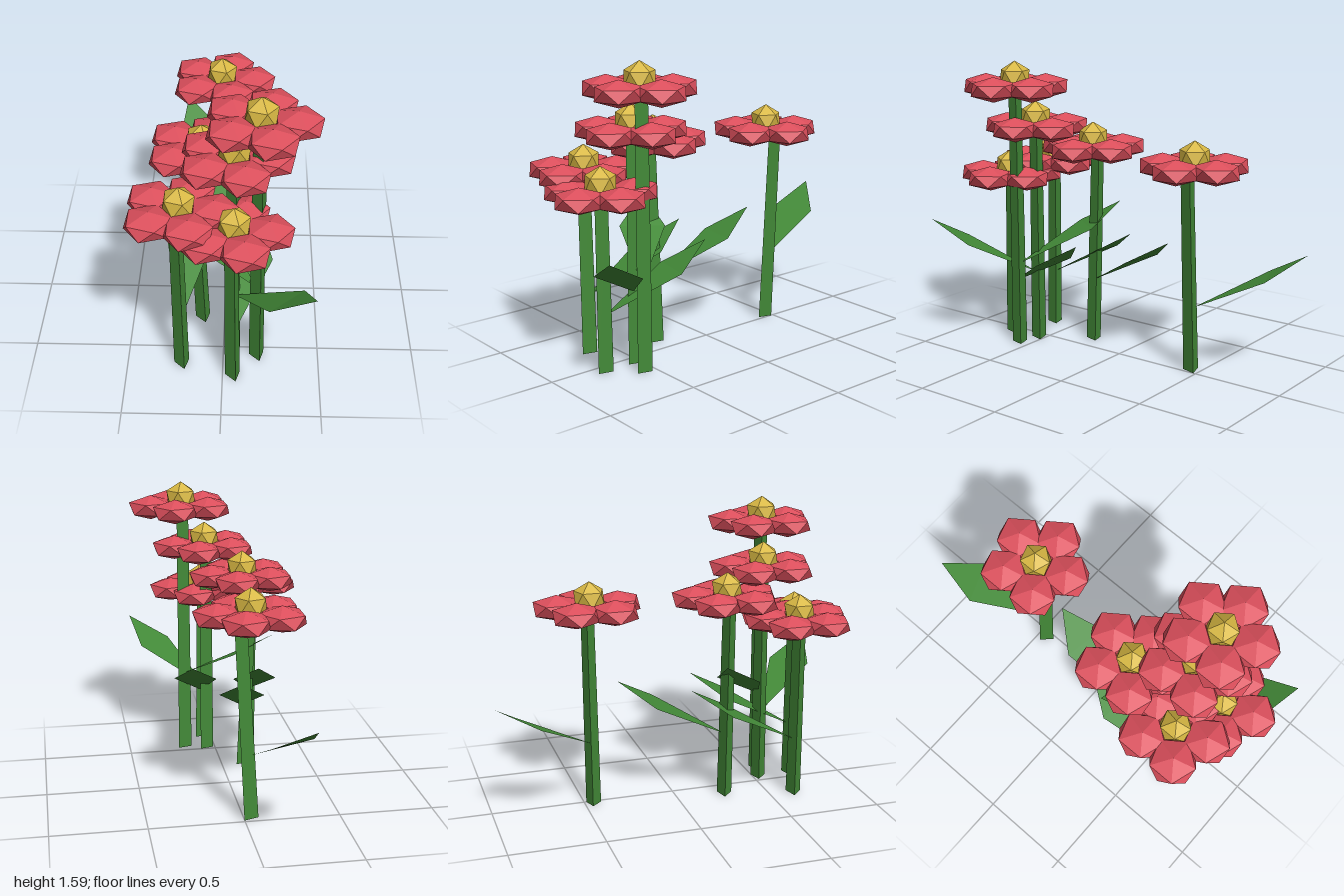
import * as THREE from 'three';

const PETALS = 5;

// Faceted ball with a corner pointing straight up and one upper corner toward +x
function facetedBall(radius, flatten) {
  const g = new THREE.IcosahedronGeometry(radius, 0);
  g.rotateX(-Math.atan((1 + Math.sqrt(5)) / 2));
  g.rotateY(Math.PI / 2);
  g.scale(1, flatten, 1);
  return g;
}

// Three-sided tapering stem standing on y = 0
function stemGeometry(height) {
  const g = new THREE.CylinderGeometry(0.04, 0.046, height, 3).toNonIndexed();
  g.computeVertexNormals();
  g.rotateY(0.26);
  g.translate(0, height / 2, 0);
  return g;
}

// Kite-shaped leaf rising from the stem along the horizontal vector (dx, dz)
function leafGeometry(dx, dz, baseY) {
  const len = Math.hypot(dx, dz);
  const sx = (-dz / len) * 0.12, sz = (dx / len) * 0.12;
  const mx = dx * 0.66, mz = dz * 0.66, my = baseY + 0.2;
  const base = [0, baseY, 0], tip = [dx, baseY + 0.325, dz];
  const a = [mx + sx, my, mz + sz], b = [mx - sx, my, mz - sz];
  const g = new THREE.BufferGeometry();
  g.setAttribute('position', new THREE.Float32BufferAttribute(
    [...base, ...b, ...a, ...a, ...b, ...tip], 3));
  g.computeVertexNormals();
  return g;
}

export function createModel() {
  const red = new THREE.MeshStandardMaterial({ color: 0xdc4f5c });
  red.name = 'petal red';
  const yellow = new THREE.MeshStandardMaterial({ color: 0xd8b843 });
  yellow.name = 'centre yellow';
  const green = new THREE.MeshStandardMaterial({ color: 0x438a38, side: THREE.DoubleSide });
  green.name = 'stem green';

  const petalGeo = facetedBall(0.135, 0.5);
  const centreGeo = facetedBall(0.09, 1);

  // Position, bloom height, stem lean and leaf direction of each flower
  const flowers = [
    { x: 0.18, z: 0.565, h: 1.445, lean: 0, leaf: [-0.47, -0.355] },
    { x: 0.055, z: 0.53, h: 1.22, lean: 0, leaf: [0.4, 0.425] },
    { x: -0.115, z: 0.265, h: 1.107, lean: 0.04, leaf: [0.1, -0.575] },
    { x: -0.031, z: -0.455, h: 1.09, lean: -0.055, leaf: [-0.22, -0.545] },
    { x: -0.212, z: 0.635, h: 0.985, lean: 0.015, leaf: [0.04, -0.585] },
    { x: 0.057, z: 0.72, h: 0.93, lean: 0.01, leaf: [0.12, -0.565] },
  ];

  const model = new THREE.Group();
  model.name = 'flowerCluster';
  for (const { x, z, h, lean, leaf } of flowers) {
    const flower = new THREE.Group();
    flower.name = 'flower';
    flower.position.set(x, 0, z);
    const add = (geo, mat, name) => {
      const m = new THREE.Mesh(geo, mat);
      m.name = name;
      flower.add(m);
      return m;
    };

    add(stemGeometry(h), green, 'stem').rotation.z = lean;
    add(leafGeometry(leaf[0], leaf[1], h * 0.316), green, 'leaf');
    add(centreGeo, yellow, 'flowerCentre').position.y = h + 0.05;

    // Ring of petals
    for (let i = 0; i < PETALS; i++) {
      const t = (i / PETALS) * Math.PI * 2;
      add(petalGeo, red, 'petal').position.set(Math.cos(t) * 0.17, h, Math.sin(t) * 0.17);
    }
    model.add(flower);
  }
  return model;
}
